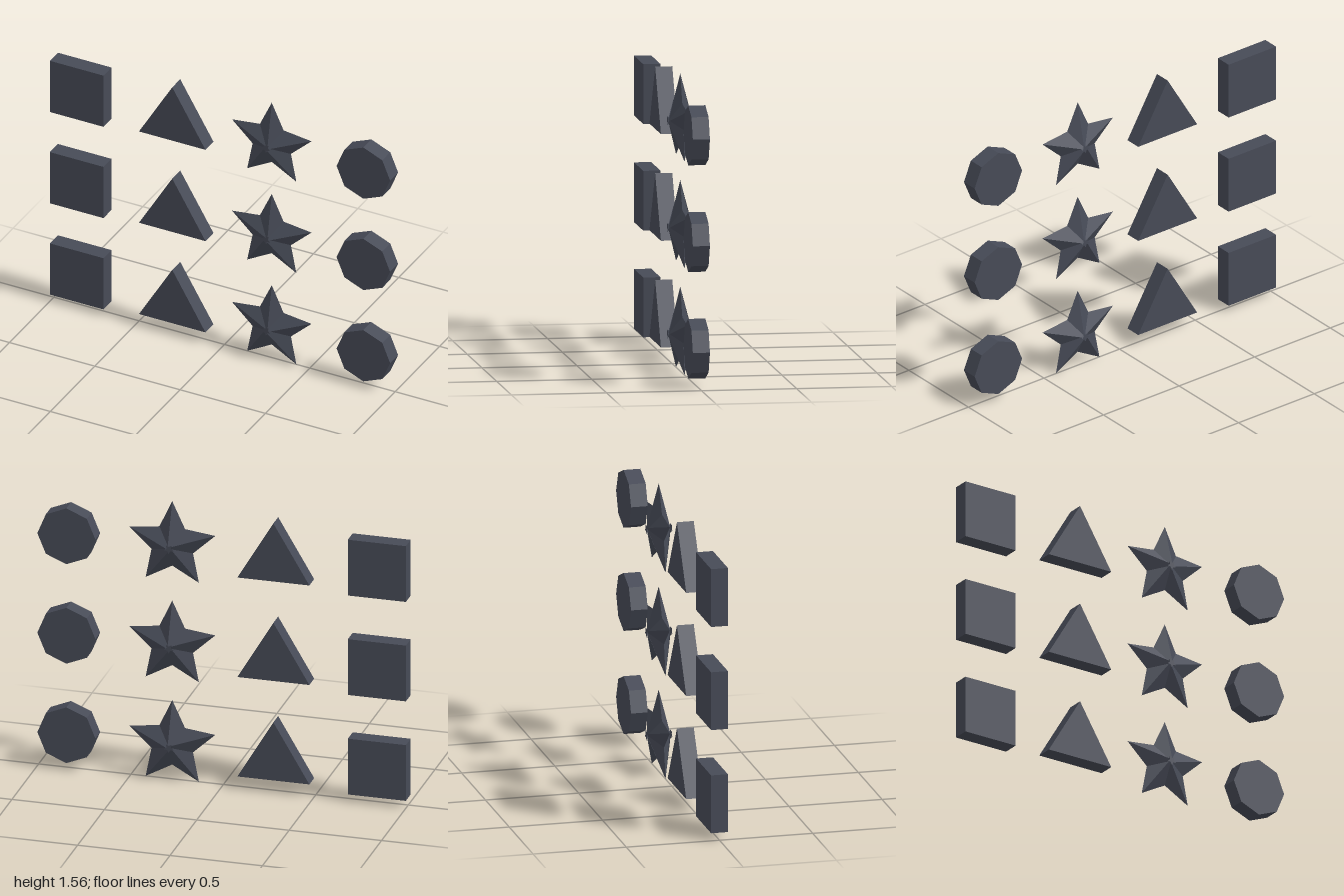
import * as THREE from 'three';

const DEPTH = 0.09;
const PITCH = 0.56;

// Solid prism from a list of [x, y] corners, centred in z
function prism(points) {
  const shape = new THREE.Shape(points.map(([x, y]) => new THREE.Vector2(x, y)));
  const geo = new THREE.ExtrudeGeometry(shape, { depth: DEPTH, bevelEnabled: false });
  return geo.translate(0, 0, -DEPTH / 2);
}

// Faceted star: a sharp rim tapers through the centre to a tiny inverted star cap on each side
function faceted5Star(outer, inner, halfDepth, capScale) {
  const ring = (scale, z) => Array.from({ length: 10 }, (_, i) => {
    const a = Math.PI / 2 + (i * Math.PI) / 5;
    const r = (i % 2 ? inner : outer) * scale;
    return [r * Math.cos(a), r * Math.sin(a), z];
  });
  const rim = ring(1, 0);
  const pos = [];
  for (const side of [1, -1]) {
    const cap = ring(capScale, side * halfDepth);
    const tri = (a, b, c) => pos.push(...a, ...(side > 0 ? b : c), ...(side > 0 ? c : b));
    for (let i = 0; i < 10; i++) {
      const j = (i + 1) % 10;
      tri(rim[i], rim[j], cap[j]);
      tri(rim[i], cap[j], cap[i]);
      tri([0, 0, side * halfDepth], cap[i], cap[j]);
    }
  }
  const geo = new THREE.BufferGeometry();
  geo.setAttribute('position', new THREE.Float32BufferAttribute(pos, 3));
  geo.computeVertexNormals();
  return geo;
}

export function createModel() {
  const group = new THREE.Group();
  const material = new THREE.MeshStandardMaterial({
    color: 0x474b57, flatShading: true, side: THREE.DoubleSide,
  });

  // One geometry per column, from left to right
  const columns = [
    ['square', new THREE.BoxGeometry(0.314, 0.314, DEPTH)],
    ['triangle', prism([[-0.195, -0.125], [0.195, -0.125], [0, 0.202]])],
    ['star', faceted5Star(0.245, 0.118, 0.067, -0.11)],
    ['octagon', new THREE.CylinderGeometry(0.157, 0.157, DEPTH, 8).rotateX(Math.PI / 2)],
  ];

  // Three identical rows
  for (let row = 0; row < 3; row++) {
    columns.forEach(([name, geometry], col) => {
      const mesh = new THREE.Mesh(geometry, material);
      mesh.name = `${name}${row + 1}`;
      mesh.position.set((col - 1.5) * PITCH - 0.003, 0.2 + row * PITCH, 0);
      group.add(mesh);
    });
  }
  return group;
}
